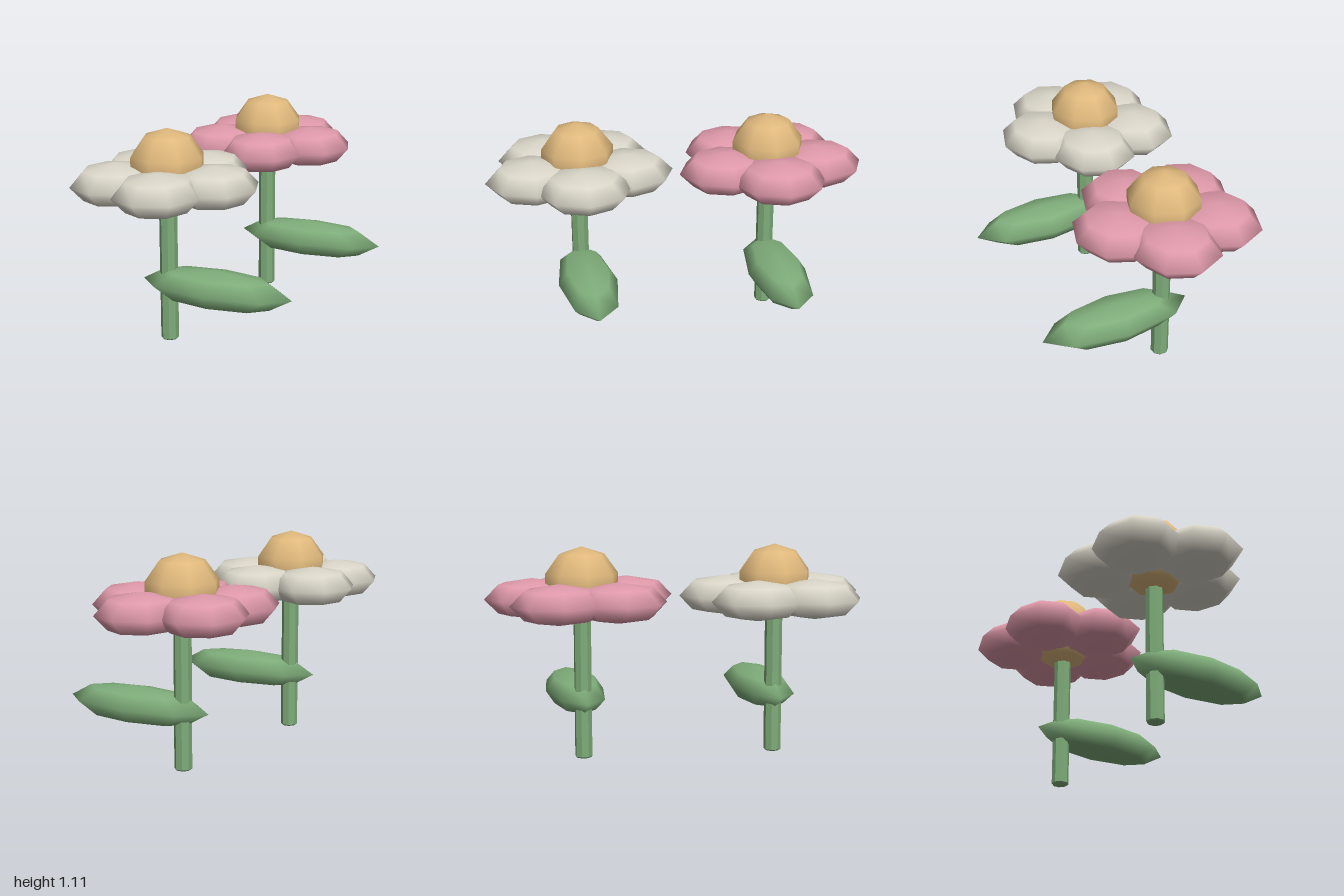
import * as THREE from 'three';

const mat = (name, color) => {
  const m = new THREE.MeshStandardMaterial({ color });
  m.name = name;
  return m;
};

// Low-poly ellipsoid with smooth normals
function ellipsoid(name, material, radii, position, rows = 4) {
  const geometry = new THREE.SphereGeometry(1, 8, rows);
  geometry.scale(...radii);
  const mesh = new THREE.Mesh(geometry, material);
  mesh.name = name;
  mesh.position.set(...position);
  return mesh;
}

// Eight-sided stem with a small bevel at the foot
function makeStem(material) {
  const r = 0.046;
  const profile = [[0, 0], [r - 0.007, 0], [r, 0.007], [r, 0.82], [0, 0.82]]
    .map(([x, y]) => new THREE.Vector2(x, y));
  const geometry = new THREE.LatheGeometry(profile, 8, Math.PI / 8).toNonIndexed();
  geometry.computeVertexNormals();
  const mesh = new THREE.Mesh(geometry, material);
  mesh.name = 'stem';
  return mesh;
}

export function createModel() {
  const green = mat('leaf green', 0x7fad7a);
  const tan = mat('centre tan', 0xdfb87c);
  const white = mat('petal white', 0xdad6c9);
  const pink = mat('petal pink', 0xdf99aa);

  function makeFlower(name, petalMaterial, leafX) {
    const flower = new THREE.Group();
    flower.name = name;
    flower.add(makeStem(green));
    flower.add(ellipsoid('leaf', green, [0.415, 0.098, 0.157], [leafX, 0.307, 0]));
    flower.add(ellipsoid('flowerCentre', tan, [0.2, 0.2, 0.2], [0, 0.91, 0], 5));

    // Five petals around the centre, all facing the same way
    for (let i = 0; i < 5; i++) {
      const a = (i / 5) * Math.PI * 2;
      flower.add(ellipsoid('petal', petalMaterial, [0.225, 0.105, 0.248],
        [Math.cos(a) * 0.26, 0.84, Math.sin(a) * 0.26]));
    }
    return flower;
  }

  const model = new THREE.Group();
  model.name = 'flowers';
  const front = makeFlower('whiteFlower', white, 0.267);
  front.position.set(-0.17, 0, 0.505);
  const back = makeFlower('pinkFlower', pink, 0.267);
  back.position.set(-0.08, 0, -0.505);
  model.add(front, back);
  return model;
}
